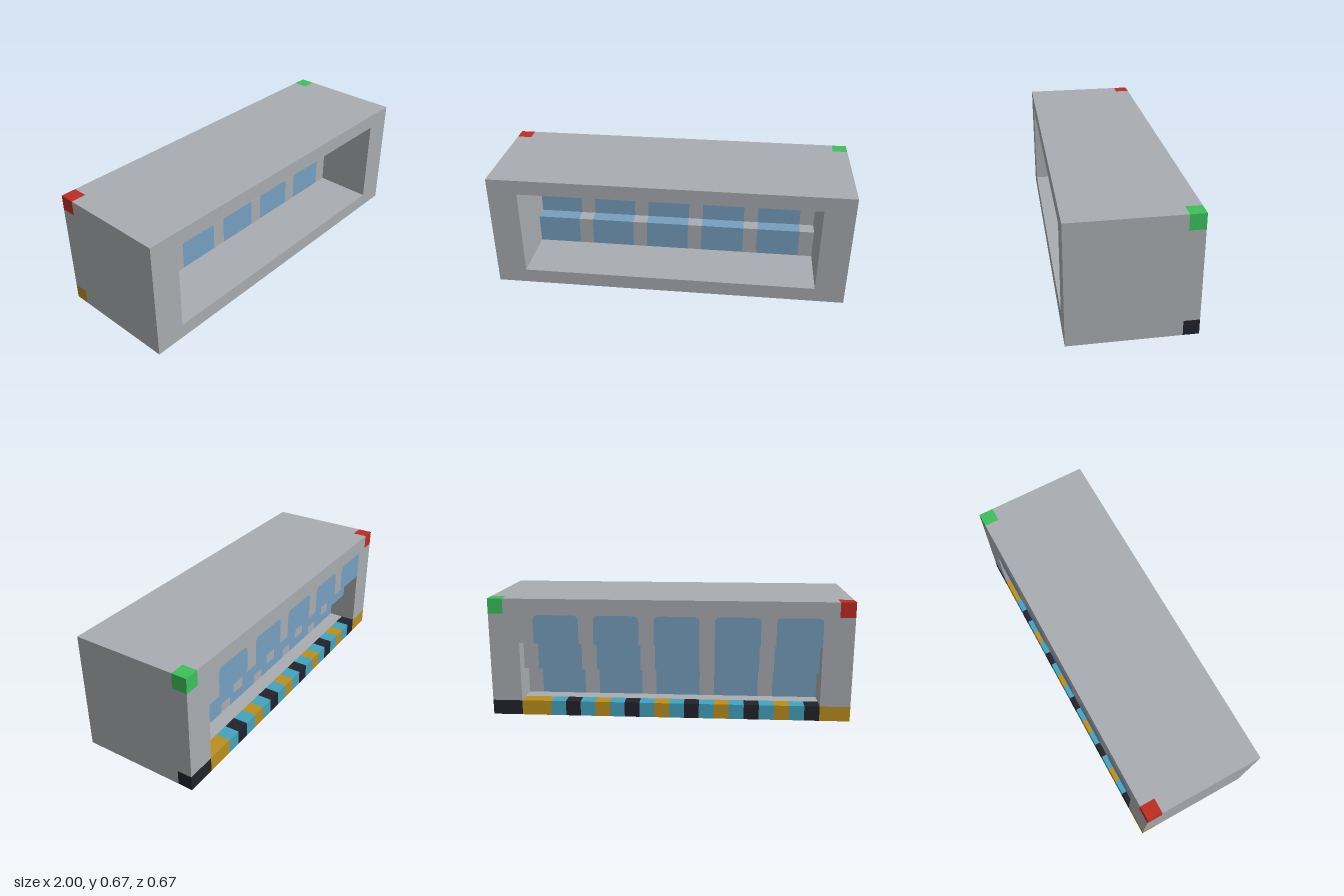
import * as THREE from 'three';

const U = 1 / 12; // one grid cell; the body is 24 x 8 x 8 cells

function material(name, color) {
  const m = new THREE.MeshStandardMaterial({ color });
  m.name = name;
  return m;
}

export function createModel() {
  const group = new THREE.Group();
  const grey = material('grey', 0xa9acb0);
  const blue = material('glass blue', 0x769fc0);
  const red = material('red', 0xbf2c23);
  const green = material('green', 0x3cc05b);
  const black = material('black', 0x22222c);
  const teal = material('teal', 0x44a3be);
  const gold = material('gold', 0xbb8f1e);

  // Box between two corners given in cells (x from -12 to 12, y from 0 to 8, z from -4 to 4)
  function box(name, mat, x0, x1, y0, y1, z0, z1) {
    const mesh = new THREE.Mesh(
      new THREE.BoxGeometry((x1 - x0) * U, (y1 - y0) * U, (z1 - z0) * U), mat);
    mesh.position.set((x0 + x1) / 2 * U, (y0 + y1) / 2 * U, (z0 + z1) / 2 * U);
    mesh.name = name;
    group.add(mesh);
    return mesh;
  }

  // Rectangular frame around the opening
  const outline = new THREE.Shape();
  outline.moveTo(-12 * U, 0).lineTo(12 * U, 0).lineTo(12 * U, 8 * U).lineTo(-12 * U, 8 * U).closePath();
  const hole = new THREE.Path();
  hole.moveTo(-10 * U, U).lineTo(-10 * U, 7 * U).lineTo(10 * U, 7 * U).lineTo(10 * U, U).closePath();
  outline.holes.push(hole);
  const frame = new THREE.Mesh(
    new THREE.ExtrudeGeometry(outline, { depth: 7 * U, bevelEnabled: false }), grey);
  frame.position.z = -3 * U;
  frame.name = 'frame';
  group.add(frame);

  // Rear layer of the frame, with coloured upper corners
  box('rearTopBar', grey, -11, 11, 7, 8, -4, -3);
  box('rearPostLeft', grey, 10, 12, 1, 7, -4, -3);
  box('rearPostRight', grey, -12, -10, 1, 7, -4, -3);
  box('cornerBlockLeft', green, 11, 12, 7, 8, -4, -3);
  box('cornerBlockRight', red, -12, -11, 7, 8, -4, -3);

  // Coloured blocks along the lower rear edge
  box('edgeEndLeft', black, 10, 12, 0, 1, -4, -3);
  box('edgeEndRight', gold, -12, -10, 0, 1, -4, -3);
  box('edgeBlock', gold, 8, 10, 0, 1, -4, -3);
  const pattern = [teal, black, teal, gold];
  for (let i = 0; i < 18; i++) {
    box('edgeBlock', pattern[i % 4], 7 - i, 8 - i, 0, 1, -4, -3);
  }
  box('undersideMark', red, -11, -10, -0.02, 0.02, -3, -2);

  // Rounded pane for the rear of the top step
  const pane = new THREE.Shape();
  const w = 1.5 * U, h = 1.93 * U, r = 0.4 * U;
  pane.moveTo(-w, 0).lineTo(w, 0).lineTo(w, h - r).quadraticCurveTo(w, h, w - r, h)
    .lineTo(-w + r, h).quadraticCurveTo(-w, h, -w, h - r).closePath();
  const paneGeometry = new THREE.ShapeGeometry(pane).rotateY(Math.PI);

  // Three overlapping steps, each with five panes divided by grey strips
  for (let step = 0; step < 3; step++) {
    const y = 1 + 2 * step, front = -step, back = front - 2;
    const rear = step === 2 ? grey : blue;
    for (let i = 0; i < 5; i++) {
      const x = -10 + 4 * i;
      box('stepPane', [blue, blue, blue, grey, blue, rear], x, x + 3, y, y + 2, back, front);
      box('stepDivider', grey, x + 3, x + 4, y, y + 2, back, front);
      if (step === 2) {
        const plate = new THREE.Mesh(paneGeometry, blue);
        plate.position.set((x + 1.5) * U, y * U, back * U - 0.002);
        plate.name = 'rearPane';
        group.add(plate);
      }
    }
  }
  return group;
}
